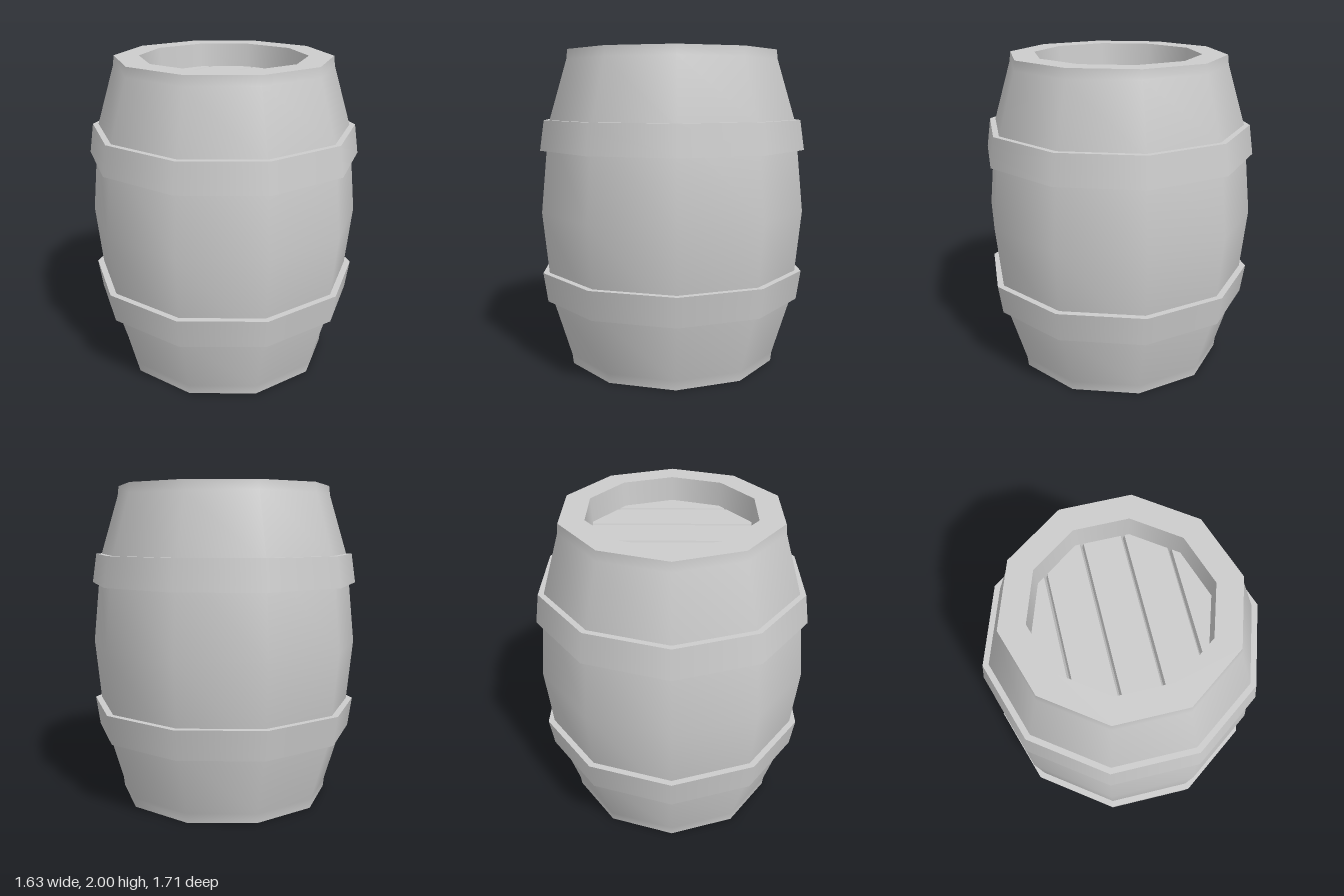
import * as THREE from 'three';

const SIDES = 10;
const material = new THREE.MeshStandardMaterial({ color: 0xcccccc });
material.name = 'plain grey';

// Ten-sided ring surface, smooth along its profile of [radius, y] points
function ring(name, profile) {
  const points = profile.map(([r, y]) => new THREE.Vector2(r, y));
  const mesh = new THREE.Mesh(new THREE.LatheGeometry(points, SIDES), material);
  mesh.name = name;
  return mesh;
}

// Ten-sided plank floor, folded down into V-grooves that run along x
function plankFloor(radius, y) {
  const corners = [];
  for (let k = SIDES / 2; k >= 0; k--) {
    const a = (k * 2 * Math.PI) / SIDES;
    corners.push([radius * Math.cos(a), radius * Math.sin(a)]);
  }
  const halfWidth = (z) => {
    for (let i = 1; i < corners.length; i++) {
      const [z0, w0] = corners[i - 1];
      const [z1, w1] = corners[i];
      if (z <= z1) return w0 + ((w1 - w0) * (z - z0)) / (z1 - z0);
    }
    return 0;
  };
  const rows = corners.map(([z]) => [z, y]);
  for (const g of [-0.36, -0.12, 0.12, 0.36]) {
    rows.push([g - 0.012, y], [g, y - 0.03], [g + 0.01, y]);
  }
  rows.sort((a, b) => a[0] - b[0]);

  const positions = [];
  for (let i = 1; i < rows.length; i++) {
    const [z0, y0] = rows[i - 1];
    const [z1, y1] = rows[i];
    const w0 = halfWidth(z0);
    const w1 = halfWidth(z1);
    positions.push(-w0, y0, z0, -w1, y1, z1, w1, y1, z1);
    positions.push(-w0, y0, z0, w1, y1, z1, w0, y0, z0);
  }
  const geometry = new THREE.BufferGeometry();
  geometry.setAttribute('position', new THREE.Float32BufferAttribute(positions, 3));
  geometry.computeVertexNormals();
  const mesh = new THREE.Mesh(geometry, material);
  mesh.name = 'plankFloor';
  return mesh;
}

// One end of the barrel and its hoop, measured up from the middle
function barrelEnd(name) {
  const end = new THREE.Group();
  end.name = name;
  end.add(
    ring('rim', [[0.675, 1], [0.52, 1]]),
    ring('recessWall', [[0.52, 1], [0.507, 0.81]]),
    plankFloor(0.515, 0.85),
    ring('hoopFace', [[0.857, 0.385], [0.83, 0.57]]),
    ring('hoopOuterLedge', [[0.83, 0.57], [0.785, 0.57]]),
    ring('hoopInnerLedge', [[0.805, 0.385], [0.857, 0.385]])
  );
  return end;
}

export function createModel() {
  const barrel = new THREE.Group();
  barrel.name = 'barrel';

  // Bulging staves
  barrel.add(ring('staves', [
    [0.675, 0], [0.682, 0.06], [0.8, 0.45], [0.855, 1],
    [0.8, 1.55], [0.682, 1.94], [0.675, 2],
  ]));

  // Matching ends, the lower one turned over
  const top = barrelEnd('topEnd');
  top.position.y = 1;
  const bottom = barrelEnd('bottomEnd');
  bottom.position.y = 1;
  bottom.rotation.z = Math.PI;
  barrel.add(top, bottom);

  return barrel;
}
